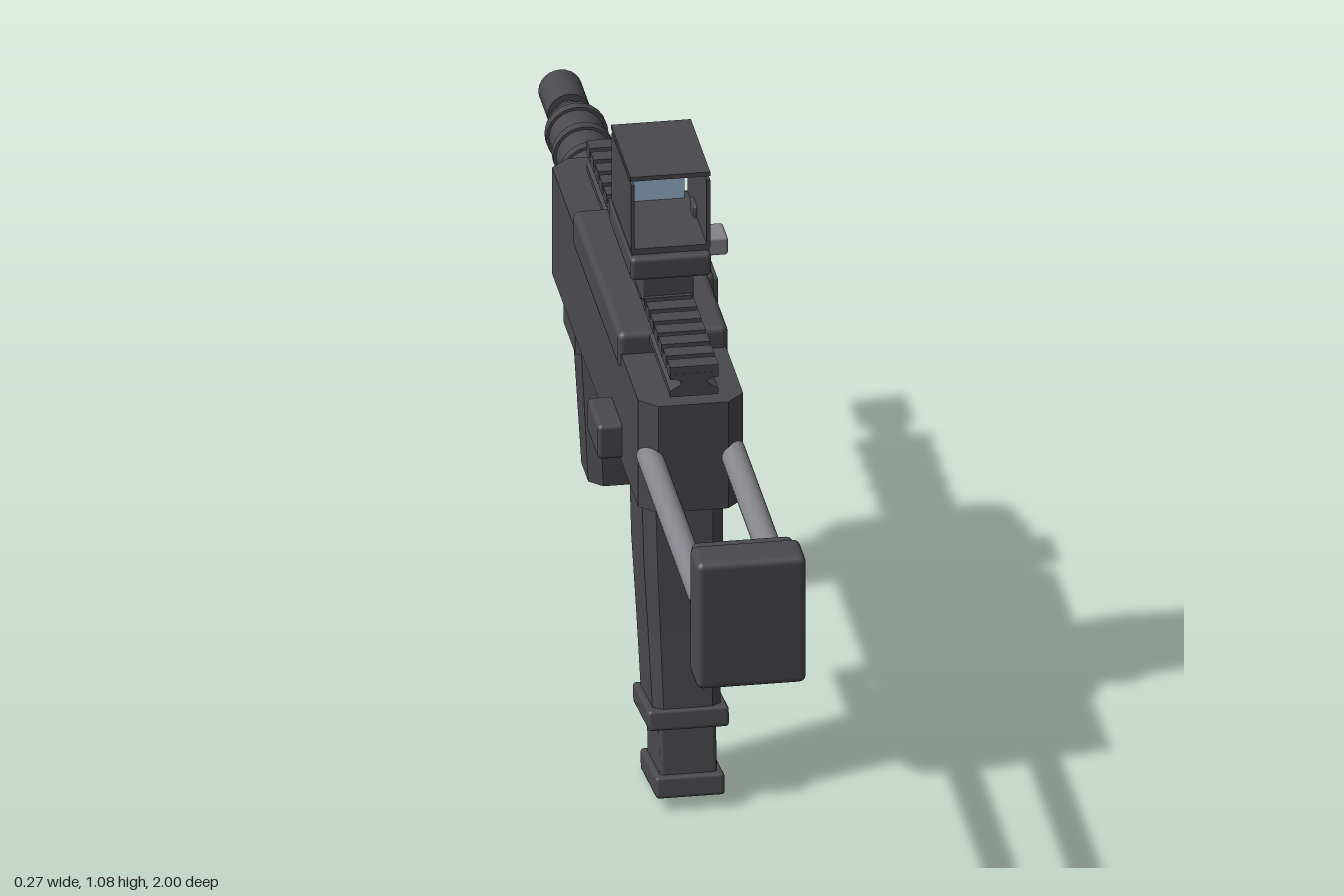
import * as THREE from 'three';
import { RoundedBoxGeometry } from 'three/addons/geometries/RoundedBoxGeometry.js';

const CX = -0.006; // centre line of the body

export function createModel() {
  const model = new THREE.Group();
  const mat = (name, color, extra = {}) =>
    Object.assign(new THREE.MeshStandardMaterial({ color, ...extra }), { name });
  const dark = mat('darkPolymer', 0x4a494e);
  const facet = dark.clone();
  facet.flatShading = true;
  const steel = mat('greySteel', 0x84848a);
  const glass = mat('blueGlass', 0x9dbad4, { side: THREE.DoubleSide });

  const add = (name, geo, material = dark, parent = model) => {
    const mesh = new THREE.Mesh(geo, material);
    mesh.name = name;
    parent.add(mesh);
    return mesh;
  };

  // Box given by its extents, with softened edges when r > 0
  const box = (name, [x0, x1], [y0, y1], [z0, z1], r = 0, material = dark) => {
    const s = [x1 - x0, y1 - y0, z1 - z0];
    const geo = r ? new RoundedBoxGeometry(...s, 2, r) : new THREE.BoxGeometry(...s);
    const mesh = add(name, geo, material);
    mesh.position.set((x0 + x1) / 2, (y0 + y1) / 2, (z0 + z1) / 2);
    return mesh;
  };

  // Chamfered cross-sections stacked upward: [y, zCentre, halfX, halfZ, chamfer, tilt]
  const loft = (name, rings) => {
    const pos = [], idx = [];
    for (const [y, zc, hx, hz, c, tilt = 0] of rings) {
      const plan = [[hx, hz - c], [hx, c - hz], [hx - c, -hz], [c - hx, -hz],
        [-hx, c - hz], [-hx, hz - c], [c - hx, hz], [hx - c, hz]];
      for (const [x, z] of plan) pos.push(CX + x, y + z * tilt, zc + z);
    }
    const top = (rings.length - 1) * 8;
    for (let r = 0; r < top; r += 8) {
      for (let i = 0; i < 8; i++) {
        const a = r + i, b = r + (i + 1) % 8;
        idx.push(a, b, b + 8, a, b + 8, a + 8);
      }
    }
    for (let i = 1; i < 7; i++) {
      idx.push(0, i + 1, i, top, top + i, top + i + 1);
    }
    const geo = new THREE.BufferGeometry();
    geo.setAttribute('position', new THREE.Float32BufferAttribute(pos, 3));
    geo.setIndex(idx);
    geo.computeVertexNormals();
    return add(name, geo, facet);
  };

  // Cylinder lying along z
  const rod = (name, x, y, z0, z1, r, material = dark) => {
    const geo = new THREE.CylinderGeometry(r, r, Math.abs(z1 - z0), 24).rotateX(Math.PI / 2);
    add(name, geo, material).position.set(x, y, (z0 + z1) / 2);
  };

  // Receiver and its raised cover
  loft('receiver', [[0.571, -0.088, 0.089, 0.478, 0.03], [0.769, -0.088, 0.089, 0.478, 0.03]]);
  box('receiverCover', [-0.1, 0.087], [0.74, 0.807], [-0.297, 0.185], 0.012);

  // Side details
  box('ejectionPort', [0.07, 0.115], [0.649, 0.745], [-0.303, -0.137], 0.008);
  box('ejectionPortPlate', [0.11, 0.124], [0.657, 0.732], [-0.288, -0.152], 0.004);
  box('chargingBlock', [0.07, 0.133], [0.713, 0.765], [-0.428, -0.328], 0.008);
  box('leftCatch', [-0.136, -0.09], [0.58, 0.643], [0.08, 0.195], 0.008);

  // Accessory rail with cross teeth
  const railShape = new THREE.Shape([[-0.041, 0.79], [0.041, 0.79], [0.041, 0.801],
    [0.022, 0.812], [0.022, 0.818], [0.041, 0.826], [0.041, 0.832], [-0.041, 0.832],
    [-0.041, 0.826], [-0.022, 0.818], [-0.022, 0.812], [-0.041, 0.801]]
    .map(([x, y]) => new THREE.Vector2(x, y)));
  const rail = add('rail', new THREE.ExtrudeGeometry(railShape,
    { depth: 0.875, bevelEnabled: false }));
  rail.position.set(CX, 0, -0.475);
  for (let i = 0; i < 20; i++) {
    const z = -0.475 + i * 0.0444;
    box('railTooth', [-0.047, 0.035], [0.822, 0.845], [z, z + 0.031]);
  }

  // Reflex sight: mount, base, hood, lens and controls
  box('sightMount', [-0.05, 0.038], [0.835, 0.9], [-0.035, 0.126], 0.004);
  box('sightBase', [-0.075, 0.062], [0.892, 0.934], [-0.072, 0.163], 0.008);
  box('sightDeck', [-0.071, 0.061], [0.928, 0.945], [-0.056, 0.147]);
  box('hoodSideRight', [-0.072, -0.066], [0.94, 1.064], [-0.056, 0.147]);
  box('hoodSideLeft', [0.056, 0.062], [0.94, 1.064], [-0.056, 0.147]);
  box('hoodRoof', [-0.073, 0.062], [1.071, 1.079], [-0.056, 0.147]);
  box('lens', [-0.058, 0.047], [0.944, 1.062], [-0.036, -0.032], 0, glass);
  box('reticleDot', [CX - 0.003, CX + 0.003], [0.998, 1.004], [-0.038, -0.03]);
  box('sightKnob', [0.055, 0.096], [0.911, 0.944], [0.067, 0.126], 0.005, steel);
  box('sightButton', [0.05, 0.078], [0.94, 0.966], [0.003, 0.046], 0.004);

  // Ribbed barrel and muzzle
  const by = 0.683;
  rod('barrelShroud', CX, by, -0.855, -0.55, 0.048);
  for (const z of [-0.605, -0.68, -0.755, -0.83]) {
    rod('barrelRing', CX, by, z - 0.009, z + 0.009, 0.053);
  }
  rod('barrelNeck', CX, by, -0.91, -0.85, 0.025);
  rod('muzzle', CX, by, -1, -0.905, 0.037);

  // Shoulder stock on twin rods
  for (const side of [-1, 1]) {
    rod('stockRod', CX + side * 0.07, 0.665, 0.36, 0.92, 0.022, steel);
  }
  box('stockPlate', [-0.093, 0.08], [0.548, 0.763], [0.89, 0.97], 0.012);
  box('stockPad', [-0.099, 0.087], [0.537, 0.771], [0.92, 1], 0.012);

  // Rear grip holding the magazine
  loft('grip', [
    [0.145, 0.258, 0.057, 0.078, 0.016, 0.14],
    [0.3, 0.235, 0.062, 0.082, 0.018, 0.1],
    [0.42, 0.22, 0.067, 0.087, 0.02, 0.04],
    [0.575, 0.206, 0.069, 0.087, 0.02],
  ]);
  const slab = (name, y, z, w, h, d, r) => {
    const mesh = add(name, new RoundedBoxGeometry(w, h, d, 2, r));
    mesh.position.set(CX, y, z);
    mesh.rotation.x = -0.14;
  };
  slab('gripCollar', 0.148, 0.26, 0.137, 0.036, 0.168, 0.006);
  slab('magazine', 0.1, 0.267, 0.097, 0.12, 0.142, 0.008);
  slab('magazineBase', 0.031, 0.277, 0.117, 0.038, 0.168, 0.006);

  // Trigger and guard
  box('triggerHousing', [-0.035, 0.023], [0.536, 0.58], [0.024, 0.093], 0.004);
  box('trigger', [-0.019, 0.007], [0.46, 0.545], [0.04, 0.07], 0.005, steel).rotation.x = -0.2;
  box('guardBar', [-0.03, 0.018], [0.415, 0.434], [-0.045, 0.15], 0.004);
  box('guardPost', [-0.03, 0.018], [0.418, 0.58], [-0.047, -0.023], 0.004).rotation.x = -0.06;

  // Front grip
  loft('foregripBase', [[0.493, -0.448, 0.074, 0.08, 0.02], [0.58, -0.448, 0.074, 0.08, 0.02]]);
  loft('foregrip', [[0.241, -0.448, 0.048, 0.058, 0.022], [0.5, -0.448, 0.062, 0.071, 0.024]]);

  return model;
}
